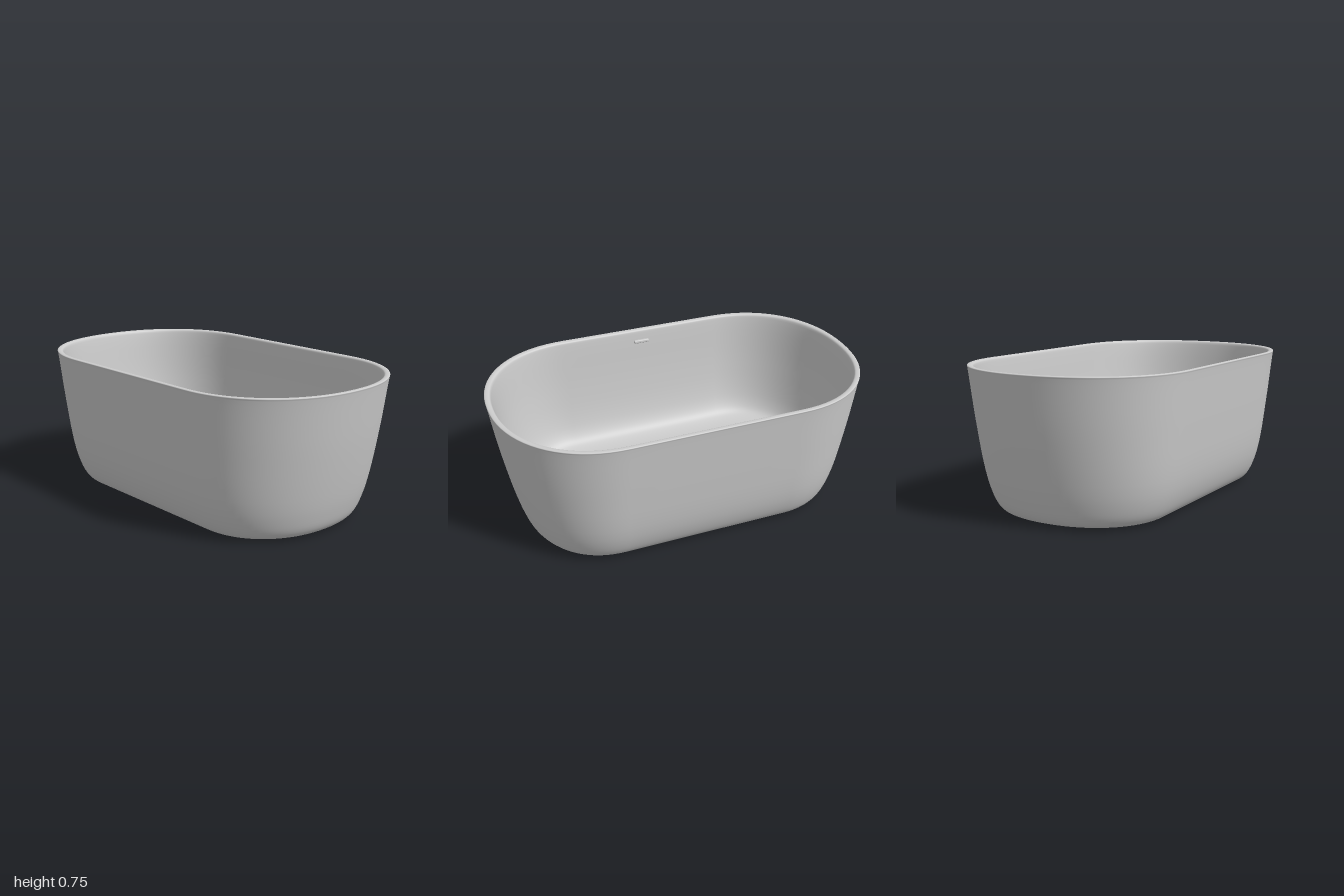
import * as THREE from 'three';
import { RoundedBoxGeometry } from 'three/addons/geometries/RoundedBoxGeometry.js';

const material = new THREE.MeshStandardMaterial({ color: 0xcccccc, roughness: 0.6 });

const STRAIGHT = 0.45; // half length of the straight sides
const FULLNESS = 2 / 2.16; // below 1 makes the round ends slightly squarer

// Steps around the outline: two full round ends joined by two straight sides.
// Each entry is [x on the straight part, x factor, z factor].
function outlineSteps(arcSteps, straightSteps) {
  const bulge = (v) => Math.sign(v) * Math.abs(v) ** FULLNESS;
  const steps = [];
  for (const end of [1, -1]) {
    for (let i = 0; i <= arcSteps; i++) {
      const a = -Math.PI / 2 + (Math.PI * i) / arcSteps;
      steps.push([end * STRAIGHT, end * bulge(Math.cos(a)), end * bulge(Math.sin(a))]);
    }
    for (let i = 1; i < straightSteps; i++) {
      steps.push([end * STRAIGHT * (1 - (2 * i) / straightSteps), 0, end]);
    }
  }
  return steps;
}

// Loft the outline; each ring is a vector (half length, height, half width).
function loft(rings) {
  const steps = outlineSteps(40, 6);
  const n = steps.length;
  const positions = [];
  const index = [];
  rings.forEach((ring, r) => {
    steps.forEach(([x, c, s], i) => {
      positions.push(x + c * (ring.x - STRAIGHT), ring.y, s * ring.z);
      if (r === rings.length - 1) return;
      const a = r * n + i;
      const b = r * n + ((i + 1) % n);
      index.push(a, a + n, b, b, a + n, b + n);
    });
  });
  const geometry = new THREE.BufferGeometry();
  geometry.setAttribute('position', new THREE.Float32BufferAttribute(positions, 3));
  geometry.setIndex(index);
  geometry.computeVertexNormals();
  return geometry;
}

export function createModel() {
  const group = new THREE.Group();
  const add = (name, geometry) => {
    const mesh = new THREE.Mesh(geometry, material);
    mesh.name = name;
    group.add(mesh);
    return mesh;
  };

  // Tub shell: underside, outer wall, rim, inner wall, raised floor
  const profile = [
    [STRAIGHT, 0, 0], [0.64, 0.005, 0.24], [0.79, 0.01, 0.39], [0.83, 0.016, 0.44],
    [0.857, 0.047, 0.47], [0.884, 0.12, 0.503], [0.912, 0.23, 0.53], [0.96, 0.48, 0.561],
    [0.998, 0.738, 0.588], [1.0, 0.747, 0.59], [0.997, 0.75, 0.587],
    [0.98, 0.75, 0.57], [0.972, 0.745, 0.562], [0.966, 0.73, 0.558],
    [0.928, 0.48, 0.533], [0.89, 0.3, 0.505], [0.86, 0.205, 0.477],
    [0.83, 0.155, 0.445], [0.78, 0.133, 0.395], [0.64, 0.127, 0.25], [STRAIGHT, 0.125, 0],
  ].map((p) => new THREE.Vector3(...p));
  const curve = new THREE.CatmullRomCurve3(profile, false, 'centripetal');
  add('tubShell', loft(curve.getPoints((profile.length - 1) * 5)));

  // Drain cover in the middle of the floor
  add('drainCover', new THREE.CylinderGeometry(0.04, 0.04, 0.01, 40)).position.y = 0.124;

  // Overflow slot on the front inner wall, tilted with the wall
  const slot = add('overflowSlot', new RoundedBoxGeometry(0.09, 0.018, 0.02, 3, 0.006));
  slot.position.set(0, 0.685, 0.547);
  slot.rotation.x = 0.1;

  return group;
}
